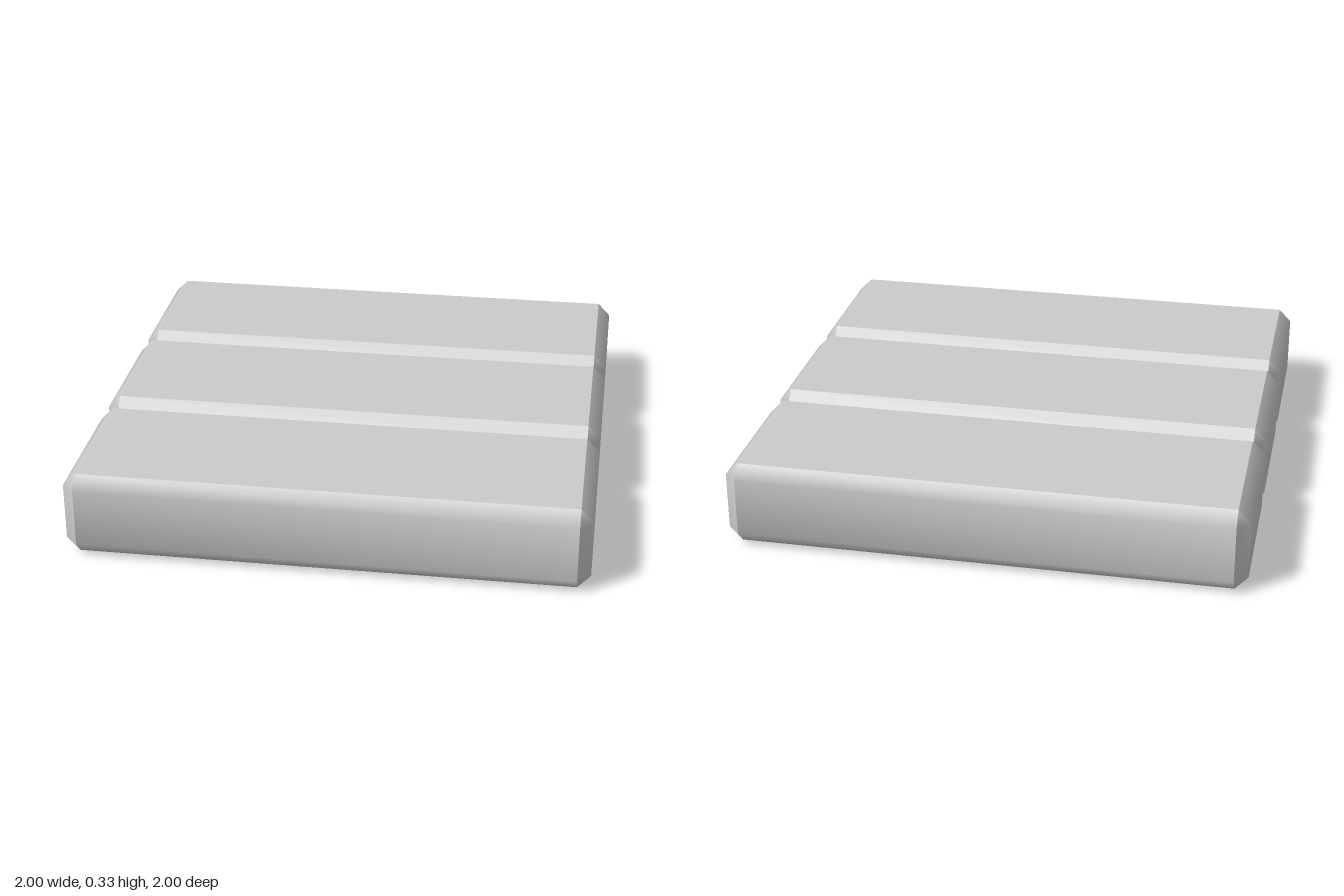
import * as THREE from 'three';
import { mergeGeometries } from 'three/addons/utils/BufferGeometryUtils.js';

const H = 0.332, UPPER = 0.28, LOWER = 0.054; // top, and the two chamfer heights
const X_IN = 0.95;                            // where the end chamfers begin

// Strip between two columns of points (a on the left, b on the right, both top to
// bottom, seen from outside). Smooth inside the strip, sharp at its borders.
function strip(a, b) {
  const n = a.length, pts = [...a, ...b], index = [];
  const same = (p, q) => p.every((v, i) => Math.abs(v - q[i]) < 1e-6);
  const tri = (i, j, k) => {
    if (!same(pts[i], pts[j]) && !same(pts[j], pts[k]) && !same(pts[i], pts[k])) index.push(i, j, k);
  };
  for (let i = 0; i < n - 1; i++) {
    tri(i, i + 1, n + i + 1);
    tri(i, n + i + 1, n + i);
  }
  const g = new THREE.BufferGeometry();
  g.setAttribute('position', new THREE.Float32BufferAttribute(pts.flat(), 3));
  g.setIndex(index);
  g.computeVertexNormals();
  return g;
}

// One chamfered plank shell, open below. Each end: out = outermost z,
// flat = z where the flat top stops, groove = true where it meets a neighbour.
function plankGeometry(front, back) {
  const foot = e => (e.groove ? e.out : e.flat);
  const edge = (s, e) => [[s * X_IN, H, e.flat], [s * X_IN, UPPER, e.out], [s * X_IN, LOWER, e.out], [s * X_IN, 0, foot(e)]];
  const side = (s, e) => [[s * X_IN, H, e.flat], [s, UPPER, e.flat], [s, LOWER, e.flat], [s * X_IN, 0, foot(e)]];

  // Columns around the plank, counter-clockwise from above
  const ring = [
    edge(-1, front), edge(1, front), side(1, front), side(1, back),
    edge(1, back), edge(-1, back), side(-1, back), side(-1, front),
  ];
  const parts = ring.map((a, i) => {
    const b = ring[(i + 1) % ring.length];
    // A groove has only its sloping face, no wall below
    const grooveFace = (i === 0 && front.groove) || (i === 4 && back.groove);
    return grooveFace ? strip(a.slice(0, 2), b.slice(0, 2)) : strip(a, b);
  });

  // Flat top
  const top = s => [[s * X_IN, H, back.flat], [s * X_IN, H, front.flat]];
  parts.push(strip(top(-1), top(1)));
  return mergeGeometries(parts);
}

export function createModel() {
  const group = new THREE.Group();
  group.name = 'plankTile';
  const material = new THREE.MeshStandardMaterial({ color: 0xcccccc, side: THREE.DoubleSide });

  const outer = s => ({ out: s, flat: s * 0.95, groove: false });
  // Groove end of the plank lying on the given side (dir) of the groove
  const groove = (s, dir) => ({ out: s / 3, flat: s / 3 + dir * 0.056, groove: true });

  const planks = {
    frontPlank: [outer(1), groove(1, 1)],
    middlePlank: [groove(1, -1), groove(-1, 1)],
    backPlank: [groove(-1, -1), outer(-1)],
  };
  for (const [name, [front, back]] of Object.entries(planks)) {
    const mesh = new THREE.Mesh(plankGeometry(front, back), material);
    mesh.name = name;
    group.add(mesh);
  }
  return group;
}
